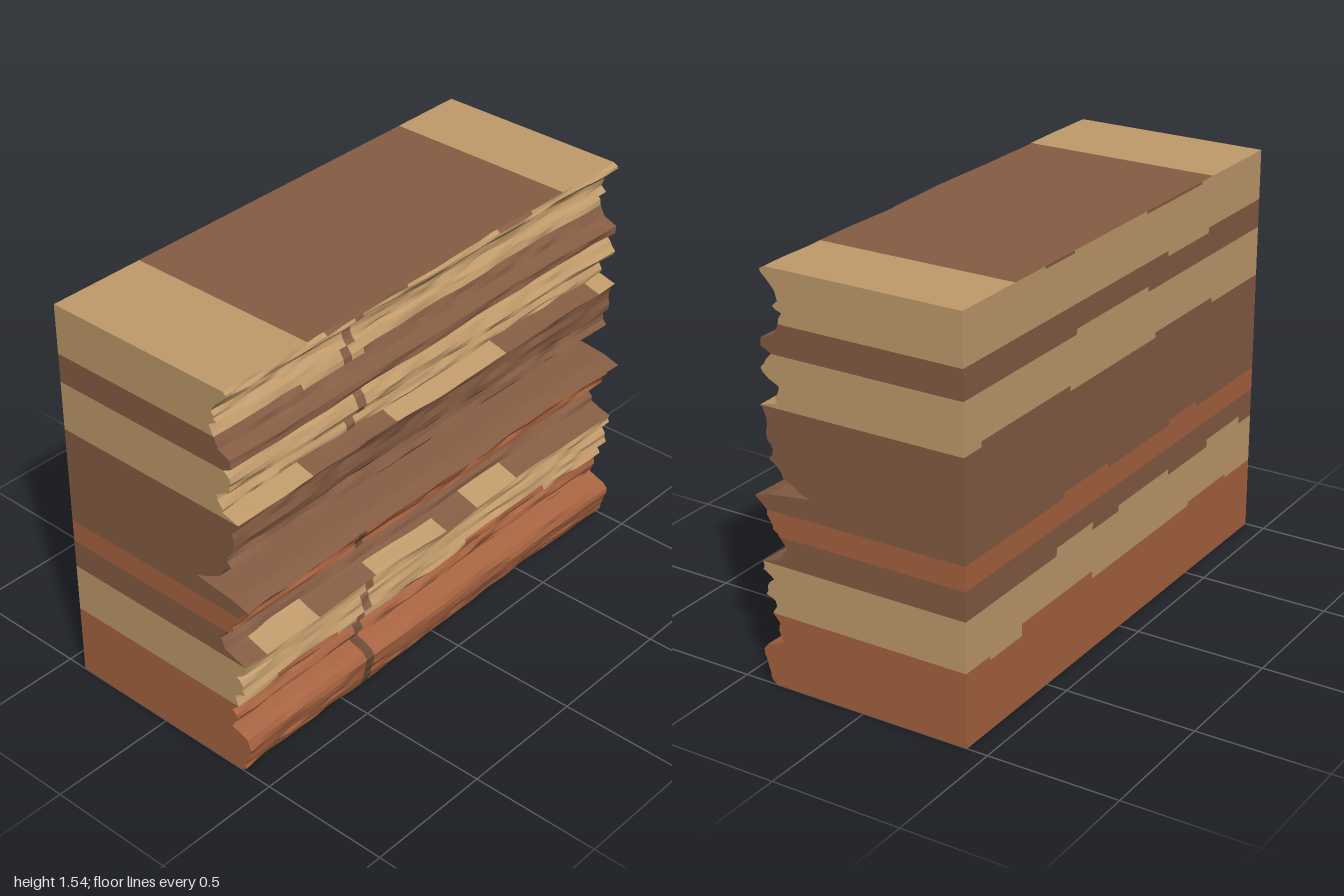
import * as THREE from 'three';

const COLORS = { tan: 0xc19a6b, brown: 0x855c43, rust: 0xa76340, umber: 0x6b4a34 };
const HEIGHT = 1.54, BACK = -0.42, COLS = 100;

// Weathered cliff profile: [height, depth]
const PROFILE = [
  [0, .375], [.03, .39], [.06, .4], [.11, .415], [.15, .4], [.175, .33], [.19, .335], [.22, .355], [.25, .34],
  [.28, .365], [.31, .355], [.33, .36], [.345, .395], [.38, .385], [.41, .37], [.44, .41], [.47, .41], [.485, .36],
  [.5, .32], [.54, .3], [.58, .33], [.6, .36], [.63, .36], [.67, .375], [.69, .395], [.71, .42], [.73, .36],
  [.75, .19], [.78, .26], [.8, .3], [.84, .33], [.86, .355], [.9, .34], [.93, .365], [.98, .365], [1.03, .37],
  [1.05, .395], [1.07, .32], [1.09, .32], [1.13, .3], [1.15, .34], [1.17, .365], [1.2, .365], [1.24, .335],
  [1.26, .37], [1.29, .37], [1.31, .32], [1.35, .3], [1.39, .28], [1.41, .32], [1.43, .3], [1.46, .3],
  [1.49, .33], [1.52, .36], [HEIGHT, .35],
];

// Strata from the ground up: [top height, colour]
const BANDS = [[.28, 'rust'], [.47, 'tan'], [.58, 'brown'], [.67, 'rust'], [1.05, 'brown'],
  [1.24, 'tan'], [1.35, 'brown'], [9, 'tan']];

// Stepped irregularities along the band edges: [x0, x1, y0, y1, colour]
const PATCHES = [
  [-.54, -.14, 1.525, 1.55, 'brown'], [.35, .53, 1.525, 1.55, 'brown'],
  [-.17, .33, 1.24, 1.26, 'tan'], [-.6, -.3, 1.33, 1.35, 'tan'],
  [-.65, -.22, 1.05, 1.07, 'brown'], [.36, .9, 1.05, 1.07, 'brown'],
  [-.54, -.34, .67, .69, 'rust'], [.1, .4, .67, .69, 'rust'],
  [-.9, -.63, .47, .5, 'tan'], [-.33, .03, .47, .49, 'tan'], [.2, .43, .47, .5, 'tan'],
  [-.8, -.5, .28, .3, 'rust'], [.2, .65, .28, .31, 'rust'], [.65, .87, .26, .28, 'tan'],
];

function colorAt(x, y) {
  for (const [x0, x1, y0, y1, c] of PATCHES) if (x > x0 && x < x1 && y > y0 && y < y1) return c;
  return BANDS.find(b => y < b[0])[1];
}

// Narrow mineral vein on the weathered face
function faceColorAt(x, y) {
  const c = colorAt(x, y);
  if (x < -.4 || x > -.365) return c;
  if (c === 'tan') return 'brown';
  return c === 'rust' ? 'umber' : c;
}

const hash = (i, j) => {
  const s = Math.sin(i * 127.1 + j * 311.7) * 43758.5453;
  return s - Math.floor(s);
};
// Smooth one-dimensional noise, separate for each row
function noise(x, row) {
  const i = Math.floor(x), f = x - i, t = f * f * (3 - 2 * f);
  return hash(i, row) * (1 - t) + hash(i + 1, row) * t - 0.5;
}

// Each profile step is split once for finer bedding ledges
const ROWS = [];
PROFILE.forEach(([y, z], k) => {
  if (k) {
    const [py, pz] = PROFILE[k - 1];
    ROWS.push([(y + py) / 2, (z + pz) / 2 + (hash(k, 7) - .5) * .008]);
  }
  ROWS.push([y, z]);
});

const columnX = i => -1 + 2 * i / COLS;
function frontZ(i, j) {
  const x = columnX(i) + 5;
  return ROWS[j][1] - .005 + noise(x * 3, 900) * .012
    + noise(x * 4, Math.floor(j / 4) + 300) * .01 + noise(x * 9, j) * .011;
}

export function createModel() {
  const model = new THREE.Group();
  model.name = 'rockStrata';
  const materials = {};
  for (const name in COLORS) {
    materials[name] = new THREE.MeshStandardMaterial({ color: COLORS[name], flatShading: true });
    materials[name].name = name;
  }

  // Gathers coloured quads and turns them into one mesh per colour
  function addPart(name, build) {
    const lists = {};
    build((color, a, b, c, d) => {
      (lists[color] ??= []).push(...a, ...b, ...c, ...a, ...c, ...d);
    });
    const part = new THREE.Group();
    part.name = name;
    for (const color in lists) {
      const geometry = new THREE.BufferGeometry();
      geometry.setAttribute('position', new THREE.Float32BufferAttribute(lists[color], 3));
      geometry.computeVertexNormals();
      const mesh = new THREE.Mesh(geometry, materials[color]);
      mesh.name = `${name} ${color}`;
      part.add(mesh);
    }
    model.add(part);
  }

  const front = (i, j) => [columnX(i), ROWS[j][0], frontZ(i, j)];
  const back = (i, j) => [columnX(i), ROWS[j][0], BACK];
  const last = ROWS.length - 1;

  // Weathered face and flat cut back
  addPart('weatheredFace', quad => {
    for (let j = 0; j < last; j++) for (let i = 0; i < COLS; i++) {
      const y = (ROWS[j][0] + ROWS[j + 1][0]) / 2;
      quad(faceColorAt(columnX(i + .5), y), front(i, j), front(i + 1, j), front(i + 1, j + 1), front(i, j + 1));
    }
  });
  addPart('cutBack', quad => {
    for (let j = 0; j < last; j++) for (let i = 0; i < COLS; i++) {
      const y = (ROWS[j][0] + ROWS[j + 1][0]) / 2;
      quad(colorAt(columnX(i + .5), y), back(i + 1, j), back(i, j), back(i, j + 1), back(i + 1, j + 1));
    }
  });

  // Cut ends showing the strata
  addPart('cutEnds', quad => {
    for (let j = 0; j < last; j++) {
      const c = colorAt(1, (ROWS[j][0] + ROWS[j + 1][0]) / 2);
      quad(c, front(COLS, j), back(COLS, j), back(COLS, j + 1), front(COLS, j + 1));
      quad(c, back(0, j), front(0, j), front(0, j + 1), back(0, j + 1));
    }
  });

  // Top with an exposed brown bed, and the base
  addPart('top', quad => {
    for (let i = 0; i < COLS; i++) {
      const x = columnX(i + .5);
      quad(x > -.63 && x < .7 ? 'brown' : 'tan', front(i, last), front(i + 1, last), back(i + 1, last), back(i, last));
    }
  });
  addPart('base', quad => {
    for (let i = 0; i < COLS; i++) quad('rust', back(i, 0), back(i + 1, 0), front(i + 1, 0), front(i, 0));
  });

  return model;
}
